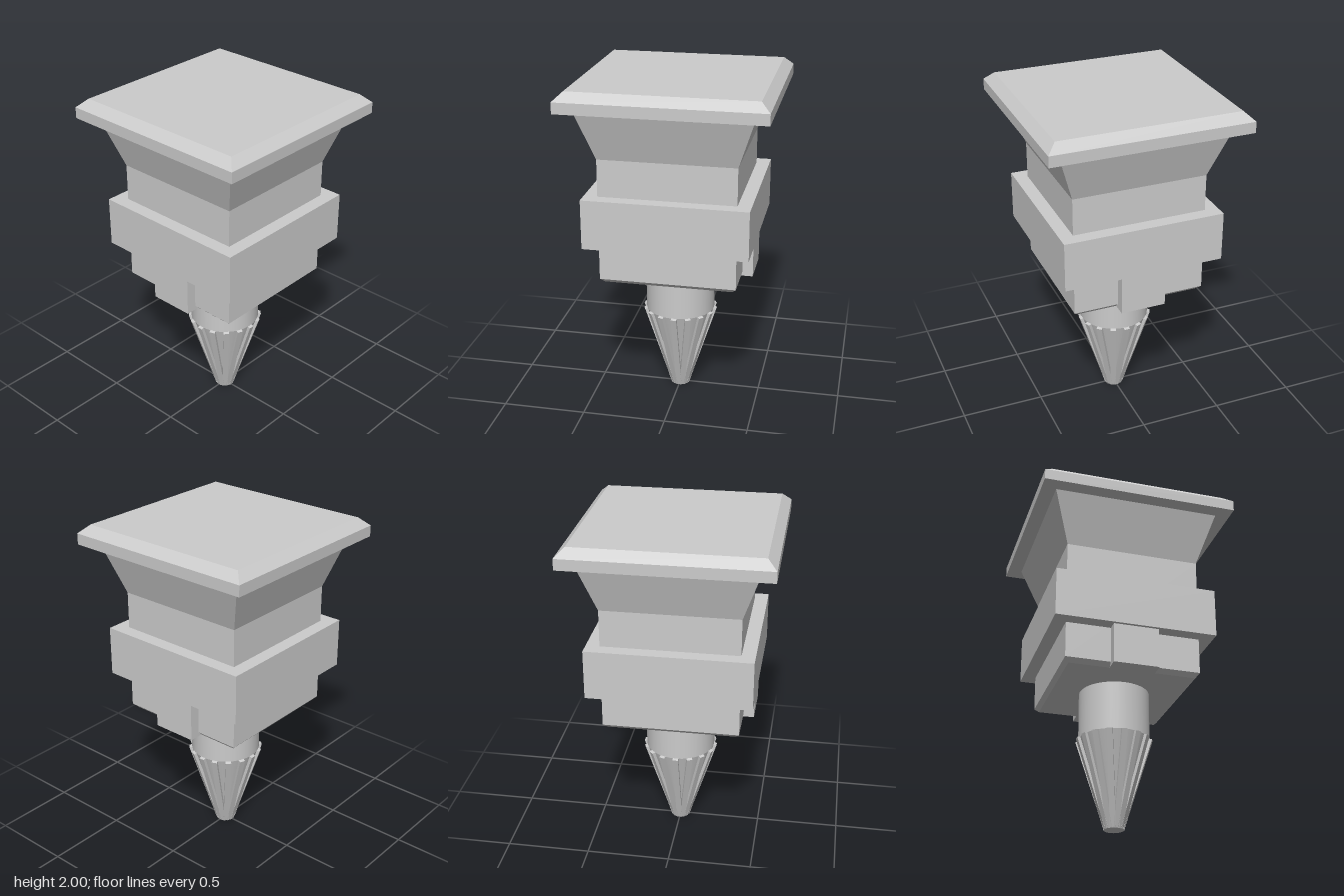
import * as THREE from 'three';

const flat = new THREE.MeshStandardMaterial({ color: 0xcccccc, flatShading: true });
const smooth = new THREE.MeshStandardMaterial({ color: 0xcccccc });

function add(parent, name, geometry, material = flat) {
  const mesh = new THREE.Mesh(geometry, material);
  mesh.name = name;
  parent.add(mesh);
  return mesh;
}

// Square block tapering from half-width h0 at y0 to half-width h1 at y1
function squareTaper(parent, name, h0, y0, h1, y1) {
  const g = new THREE.CylinderGeometry(h1 * Math.SQRT2, h0 * Math.SQRT2, y1 - y0, 4);
  g.rotateY(Math.PI / 4);
  g.translate(0, (y0 + y1) / 2, 0);
  return add(parent, name, g);
}

// Round section tapering from radius r0 at y0 to r1 at y1
function roundTaper(parent, name, r0, y0, r1, y1) {
  const g = new THREE.CylinderGeometry(r1, r0, y1 - y0, 32);
  g.translate(0, (y0 + y1) / 2, 0);
  return add(parent, name, g, smooth);
}

export function createModel() {
  const model = new THREE.Group();
  model.name = 'squareHeadedPeg';

  // Top cap with bevelled rim
  squareTaper(model, 'capEdge', 0.587, 1.885, 0.587, 1.95);
  squareTaper(model, 'capBevel', 0.587, 1.95, 0.533, 2.0);

  // Square body: flared neck, block, wide band and chamfered foot
  squareTaper(model, 'flare', 0.4, 1.585, 0.5, 1.885);
  squareTaper(model, 'body', 0.4, 0.855, 0.4, 1.585);
  squareTaper(model, 'band', 0.48, 1.07, 0.48, 1.365);
  squareTaper(model, 'bodyChamfer', 0.375, 0.83, 0.4, 0.855);

  // Side lugs below the band
  for (const side of [1, -1]) {
    const lug = add(model, side > 0 ? 'leftLug' : 'rightLug', new THREE.BoxGeometry(0.12, 0.24, 0.27));
    lug.position.set(side * 0.402, 0.95, 0);
  }

  // Round shaft and pointed tip
  roundTaper(model, 'shaft', 0.21, 0.54, 0.21, 0.84);
  roundTaper(model, 'tip', 0.042, 0.005, 0.21, 0.54);

  // Ribs running down the tip
  const ribs = new THREE.Group();
  ribs.name = 'tipRibs';
  model.add(ribs);
  const ribCount = 16;
  const lean = Math.atan2(0.17, 0.535);
  const rib = new THREE.BoxGeometry(0.034, Math.hypot(0.17, 0.535), 0.03);
  rib.rotateX(lean);
  rib.translate(0, 0.2725, 0.127);
  for (let i = 0; i < ribCount; i++) {
    add(ribs, 'rib', rib).rotation.y = (i / ribCount) * Math.PI * 2;
  }

  return model;
}
